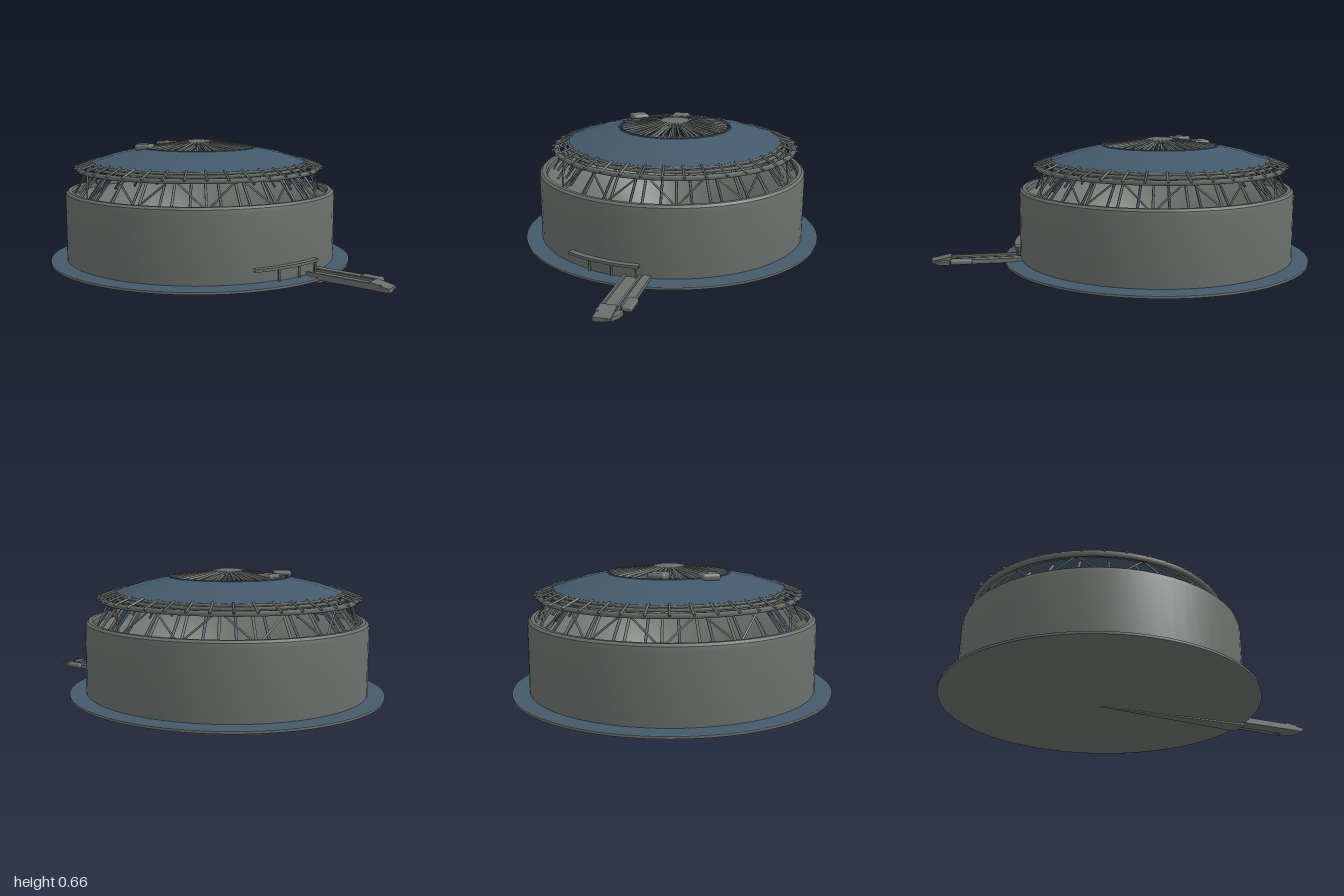
import * as THREE from 'three';
import { RoundedBoxGeometry } from 'three/addons/geometries/RoundedBoxGeometry.js';
import { toCreasedNormals } from 'three/addons/utils/BufferGeometryUtils.js';

const material = (name, color) => {
  const m = new THREE.MeshStandardMaterial({ color, side: THREE.DoubleSide });
  m.name = name;
  return m;
};

export function createModel() {
  const grey = material('concreteGrey', 0x6a6f6b);
  const blue = material('slateBlue', 0x435a6c);
  const model = new THREE.Group();
  model.name = 'domedArena';

  const add = (parent, name, geometry, mat, x = 0, y = 0, z = 0) => {
    const mesh = new THREE.Mesh(geometry, mat);
    mesh.name = name;
    mesh.position.set(x, y, z);
    parent.add(mesh);
    return mesh;
  };
  const group = (name, x, z) => {
    const g = new THREE.Group();
    g.name = name;
    g.position.set(x, 0, z);
    model.add(g);
    return g;
  };
  // Surface of revolution from [radius, height] pairs
  const lathe = (points, sides, start = 0, sweep = Math.PI * 2) => toCreasedNormals(
    new THREE.LatheGeometry(points.map(p => new THREE.Vector2(...p)), sides, start, sweep), 0.6);
  const polar = (r, a, y) => new THREE.Vector3(r * Math.sin(a), y, r * Math.cos(a));
  // Straight rod between two points
  const rod = (parent, name, a, b, r, mat) => {
    const d = b.clone().sub(a);
    const mesh = add(parent, name, new THREE.CylinderGeometry(r, r, d.length(), 5), mat);
    mesh.position.copy(a).add(b).multiplyScalar(0.5);
    mesh.quaternion.setFromUnitVectors(new THREE.Vector3(0, 1, 0), d.normalize());
    return mesh;
  };

  // Round plinth with a blue apron
  const base = group('base', -0.19, 0);
  add(base, 'plinth', lathe([[0, 0.004], [0.79, 0.008], [0.81, 0.012], [0.81, 0.024], [0.8, 0.025]], 64), grey);
  add(base, 'apron', lathe([[0.805, 0.025], [0.7, 0.032], [0, 0.032]], 64), blue);

  // Drum wall with a rounded lip and the sloped bowl inside
  add(base, 'drumWall', lathe([[0.725, 0.02], [0.725, 0.365], [0.721, 0.385], [0.708, 0.396],
    [0.69, 0.396], [0.682, 0.385], [0.682, 0.36]], 64), grey);
  add(base, 'seatingBowl', lathe([[0.682, 0.36], [0.56, 0.3], [0.42, 0.17], [0.3, 0.06]], 64), grey);

  // Entrance canopy on the drum with its posts
  const porch = new THREE.Group();
  porch.name = 'entrancePorch';
  base.add(porch);
  add(porch, 'porchRoof', lathe([[0.715, 0.088], [0.755, 0.088], [0.755, 0.102], [0.715, 0.102]], 12, 1.07, 0.54), grey);
  add(porch, 'porchWall', lathe([[0.735, 0.03], [0.735, 0.09]], 10, 1.25, 0.34), grey);
  for (const a of [1.25, 1.42, 1.59]) rod(porch, 'porchPost', polar(0.745, a, 0.03), polar(0.745, a, 0.09), 0.006, grey);

  // Access walkway with a rounded nose, side rail and a tapered keel
  const walkway = group('walkway', 0, 0);
  const deck = new THREE.Shape();
  deck.moveTo(0.5, -0.05);
  deck.lineTo(0.995, -0.05);
  deck.quadraticCurveTo(1.0, 0.06, 0.9, 0.062);
  deck.lineTo(0.9, 0.03);
  deck.lineTo(0.5, 0.03);
  const deckGeometry = new THREE.ExtrudeGeometry(deck, { depth: 0.02, bevelEnabled: false });
  deckGeometry.rotateX(-Math.PI / 2);
  add(walkway, 'deck', deckGeometry, grey, 0, 0.015, 0);
  add(walkway, 'frontKerb', new THREE.BoxGeometry(0.42, 0.012, 0.012), grey, 0.74, 0.04, 0.044);
  add(walkway, 'middleKerb', new THREE.BoxGeometry(0.4, 0.012, 0.01), grey, 0.72, 0.04, -0.03);
  add(walkway, 'sidePath', new THREE.BoxGeometry(0.37, 0.022, 0.04), grey, 0.7, 0.035, -0.062);
  add(walkway, 'sidePathEnd', new RoundedBoxGeometry(0.11, 0.026, 0.05, 2, 0.01), grey, 0.84, 0.037, -0.073);
  const nose = add(walkway, 'noseCap', new THREE.BoxGeometry(0.1, 0.014, 0.08), grey, 0.94, 0.037, 0.008);
  nose.rotation.z = -0.2;
  const wedge = new THREE.Shape([[-0.19, 0], [0.62, -0.05], [0.62, 0.06]].map(p => new THREE.Vector2(...p)));
  const wedgeGeometry = new THREE.ExtrudeGeometry(wedge, { depth: 0.012, bevelEnabled: false });
  wedgeGeometry.rotateX(-Math.PI / 2);
  add(walkway, 'keel', wedgeGeometry, grey, 0, 0, 0);

  // Shallow conical roof: blue shell with rims
  const roof = group('roof', -0.21, -0.01);
  add(roof, 'roofShell', lathe([[0.585, 0.54], [0.45, 0.583], [0.3, 0.615]], 20), blue);
  add(roof, 'roofUnderside', lathe([[0.3, 0.603], [0.45, 0.571], [0.585, 0.528]], 20), blue);
  const hoop = (name, r, y, tube, sides, mat) => {
    const g = new THREE.TorusGeometry(r, tube, 6, sides);
    g.rotateX(Math.PI / 2);
    add(roof, name, g, mat, 0, y, 0);
  };
  hoop('shellRim', 0.585, 0.535, 0.007, 20, grey);
  hoop('eavesHoop', 0.6, 0.522, 0.009, 48, grey);
  hoop('outerHoop', 0.648, 0.506, 0.014, 48, grey);
  hoop('oculusRim', 0.305, 0.612, 0.006, 20, blue);
  hoop('oculusHoop', 0.275, 0.606, 0.005, 40, blue);
  add(roof, 'eavesBand', lathe([[0.648, 0.497], [0.625, 0.5]], 48), grey);

  // Ribs across the eaves, and struts down to the drum
  const count = 40;
  for (let i = 0; i < count; i++) {
    const a = (i / count) * Math.PI * 2;
    rod(roof, 'eavesRib', polar(0.575, a, 0.545), polar(0.672, a, 0.51), 0.006, grey);
  }
  const struts = 24;
  for (let i = 0; i < struts; i++) {
    const step = (Math.PI * 2) / struts;
    const a = i * step;
    rod(roof, 'radialStrut', polar(0.65, a, 0.36), polar(0.52, a, 0.54), 0.007, grey);
    if (i % 2) for (const side of [-1, 1])
      rod(roof, 'diagonalStrut', polar(0.67, a, 0.37), polar(0.61, a + side * step, 0.515), 0.005, grey);
    rod(roof, 'innerStrut', polar(0.6, a + step / 2, 0.34), polar(0.43, a + step / 2, 0.57), 0.007, blue);
  }

  // Two layers of spokes in the oculus, meeting at the hub
  const spokes = 36;
  for (let i = 0; i < spokes; i++) {
    const a = (i / spokes) * Math.PI * 2;
    rod(roof, 'upperSpoke', polar(0.06, a, 0.645), polar(0.29, a, 0.612), 0.006, grey);
    rod(roof, 'lowerSpoke', polar(0.05, a + 0.08, 0.63), polar(0.27, a + 0.08, 0.575), 0.006, grey);
  }
  const hub = add(roof, 'hub', new THREE.SphereGeometry(0.09, 28, 14), grey, 0, 0.638, 0);
  hub.scale.y = 0.2;

  // Two service pods beside the oculus
  for (const [x, z, turn] of [[-0.22, 0.02, 0], [-0.165, 0.25, 0.6]]) {
    const pod = add(roof, 'servicePod', new RoundedBoxGeometry(0.095, 0.035, 0.095, 3, 0.015), grey, x, 0.62, z);
    pod.rotation.y = turn;
  }
  return model;
}
